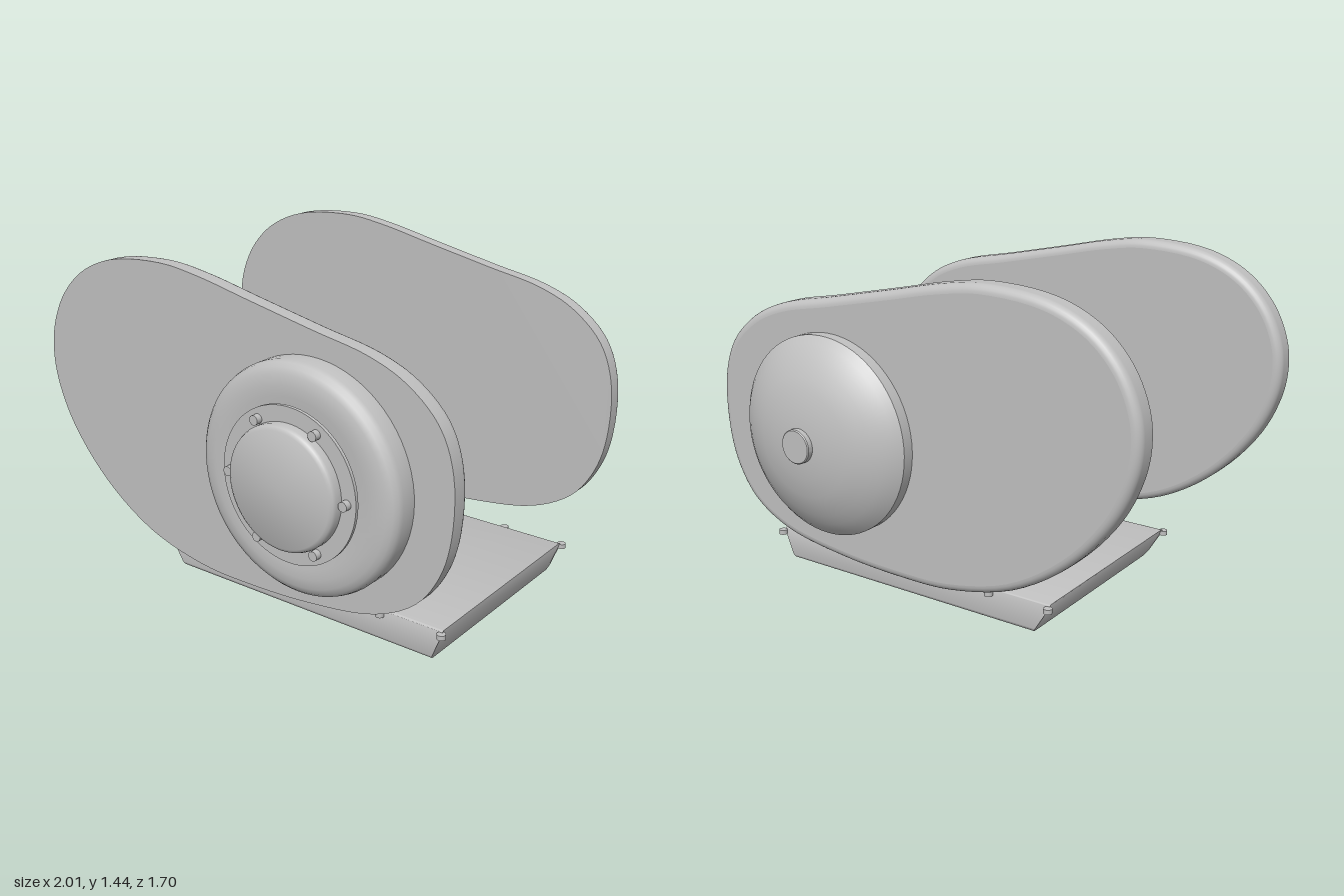
import * as THREE from 'three';
import { toCreasedNormals } from 'three/addons/utils/BufferGeometryUtils.js';

const metal = new THREE.MeshStandardMaterial({ color: 0xc0c0c0 });
metal.name = 'grey metal';

function part(name, geometry, parent, x = 0, y = 0, z = 0) {
  const mesh = new THREE.Mesh(geometry, metal);
  mesh.name = name;
  mesh.position.set(x, y, z);
  parent.add(mesh);
  return mesh;
}

// Turned part whose axis points along +z (dir 1) or -z (dir -1)
function turned(profile, dir = 1) {
  const points = profile.map(([r, h]) => new THREE.Vector2(r, h));
  const geo = new THREE.LatheGeometry(points, 72).rotateX(dir * Math.PI / 2);
  return toCreasedNormals(geo, 0.65);
}

// Side panel outline, clockwise from the left
const outline = new THREE.CatmullRomCurve3([
  [-1, 0.95], [-0.985, 1.07], [-0.92, 1.21], [-0.8, 1.33], [-0.62, 1.41], [-0.34, 1.437], [-0.15, 1.415],
  [0.1, 1.363], [0.4, 1.301], [0.65, 1.25], [0.81, 1.18], [0.94, 1.06], [1, 0.9],
  [1, 0.66], [0.955, 0.5], [0.86, 0.365], [0.68, 0.265], [0.38, 0.212], [0.06, 0.195],
  [-0.18, 0.205], [-0.47, 0.28], [-0.72, 0.44], [-0.9, 0.645], [-0.98, 0.82],
].map(([x, y]) => new THREE.Vector3(x, y, 0)), true, 'centripetal');

// Panel with a sharp front edge and a rounded back edge
function buildPanel(name, parent, z) {
  const group = new THREE.Group();
  group.name = name;
  group.position.z = z;
  parent.add(group);

  const count = 120, depth = 0.09, round = 0.035;
  const sections = [[depth, 0]];
  for (let k = 0; k <= 6; k++) {
    const a = k / 6 * Math.PI / 2;
    sections.push([round * (1 - Math.sin(a)), round * (1 - Math.cos(a))]);
  }
  const ring = inset => Array.from({ length: count }, (_, i) => {
    const p = outline.getPoint(i / count), t = outline.getTangent(i / count);
    return new THREE.Vector2(p.x + t.y * inset, p.y - t.x * inset);
  });

  const positions = [], index = [];
  sections.forEach(([h, inset], k) => {
    ring(inset).forEach((p, i) => {
      positions.push(p.x, p.y, h);
      if (k === sections.length - 1) return;
      const a = k * count + i, b = k * count + (i + 1) % count;
      index.push(a, b, a + count, b, b + count, a + count);
    });
  });
  const wall = new THREE.BufferGeometry();
  wall.setAttribute('position', new THREE.Float32BufferAttribute(positions, 3));
  wall.setIndex(index);
  wall.computeVertexNormals();
  part('panelEdge', wall, group);

  part('panelFront', new THREE.ShapeGeometry(new THREE.Shape(ring(0))), group, 0, 0, depth);
  const back = new THREE.ShapeGeometry(new THREE.Shape(ring(round).map(p => new THREE.Vector2(-p.x, p.y))));
  part('panelBack', back.rotateY(Math.PI), group);
}

// Round cover with bolted hub on the front panel
function buildFrontCover(parent) {
  const g = new THREE.Group();
  g.name = 'frontCover';
  g.position.set(0.393, 0.75, 0);
  parent.add(g);
  part('coverRing', turned([[0.453, 0.655], [0.453, 0.725], [0.447, 0.745], [0.433, 0.76], [0.41, 0.77],
    [0.37, 0.776], [0.33, 0.774], [0.29, 0.77]]), g);
  part('coverDisc', turned([[0.29, 0.765], [0.29, 0.782], [0.305, 0.786], [0.305, 0.8], [0, 0.8]]), g);
  part('hub', turned([[0.243, 0.79], [0.243, 0.83], [0.238, 0.842], [0.225, 0.85], [0, 0.85]]), g);
  const bolt = new THREE.CylinderGeometry(0.019, 0.019, 0.03, 16).rotateX(Math.PI / 2);
  for (let i = 0; i < 6; i++) {
    const a = i * Math.PI / 3;
    part('coverBolt', bolt, g, 0.265 * Math.cos(a), 0.265 * Math.sin(a), 0.811);
  }
}

// Domed cover with a small cap on the rear panel
function buildRearDome(parent) {
  const g = new THREE.Group();
  g.name = 'rearDome';
  g.position.set(0.393, 0.75, 0);
  parent.add(g);
  part('domeShell', turned([[0.413, 0.63], [0.413, 0.686], [0.385, 0.714], [0.35, 0.74], [0.31, 0.763],
    [0.265, 0.784], [0.22, 0.8], [0.14, 0.818], [0.07, 0.825], [0, 0.827]], -1), g);
  part('domeCap', turned([[0.07, 0.81], [0.07, 0.846], [0.066, 0.85], [0, 0.85]], -1), g);
}

// Shallow pan with rounded long edges and sloping ends
function buildPan(parent) {
  const g = new THREE.Group();
  g.name = 'pan';
  parent.add(g);
  const y0 = 0.035, y1 = 0.175, z0 = -0.457, z1 = 0.48, r = 0.024, q = Math.PI / 2, s = 0.012;
  const shape = new THREE.Shape();
  shape.absarc(z0 + r, y0 + r, r, Math.PI, 3 * q);
  shape.absarc(z1 - r, y0 + r, r, 3 * q, 4 * q);
  shape.absarc(z1 - s, y1 - s, s, 0, q);
  shape.absarc(z0 + s, y1 - s, s, q, Math.PI);
  const geo = new THREE.ExtrudeGeometry(shape, { depth: 1, bevelEnabled: false, curveSegments: 6 });
  geo.rotateY(Math.PI / 2);
  // The section's horizontal axis now runs along -z, so turn it back
  geo.rotateY(Math.PI).translate(1, 0, 0);
  const p = geo.attributes.position;
  for (let i = 0; i < p.count; i++) {
    const t = Math.min(1, (p.getY(i) - y0) / (0.155 - y0));
    const left = THREE.MathUtils.lerp(-0.457, -0.537, t), right = THREE.MathUtils.lerp(0.815, 0.866, t);
    p.setX(i, THREE.MathUtils.lerp(left, right, p.getX(i)));
  }
  part('panBody', toCreasedNormals(geo, 0.6), g);

  // Bolts along both long sides
  const bolt = new THREE.CylinderGeometry(0.018, 0.018, 0.02, 16);
  for (const z of [-0.47, 0.487]) {
    for (let i = 0; i < 6; i++) part('panBolt', bolt, g, -0.537 + i * 0.2806, 0.158, z);
  }
  part('drainPlug', toCreasedNormals(new THREE.CylinderGeometry(0.042, 0.042, 0.04, 6), 0.5), g, 0.165, 0.02, 0.015);
}

export function createModel() {
  const model = new THREE.Group();
  model.name = 'engineCovers';
  buildPanel('frontPanel', model, 0.57);
  buildPanel('rearPanel', model, -0.637);
  buildFrontCover(model);
  buildRearDome(model);
  buildPan(model);
  return model;
}
